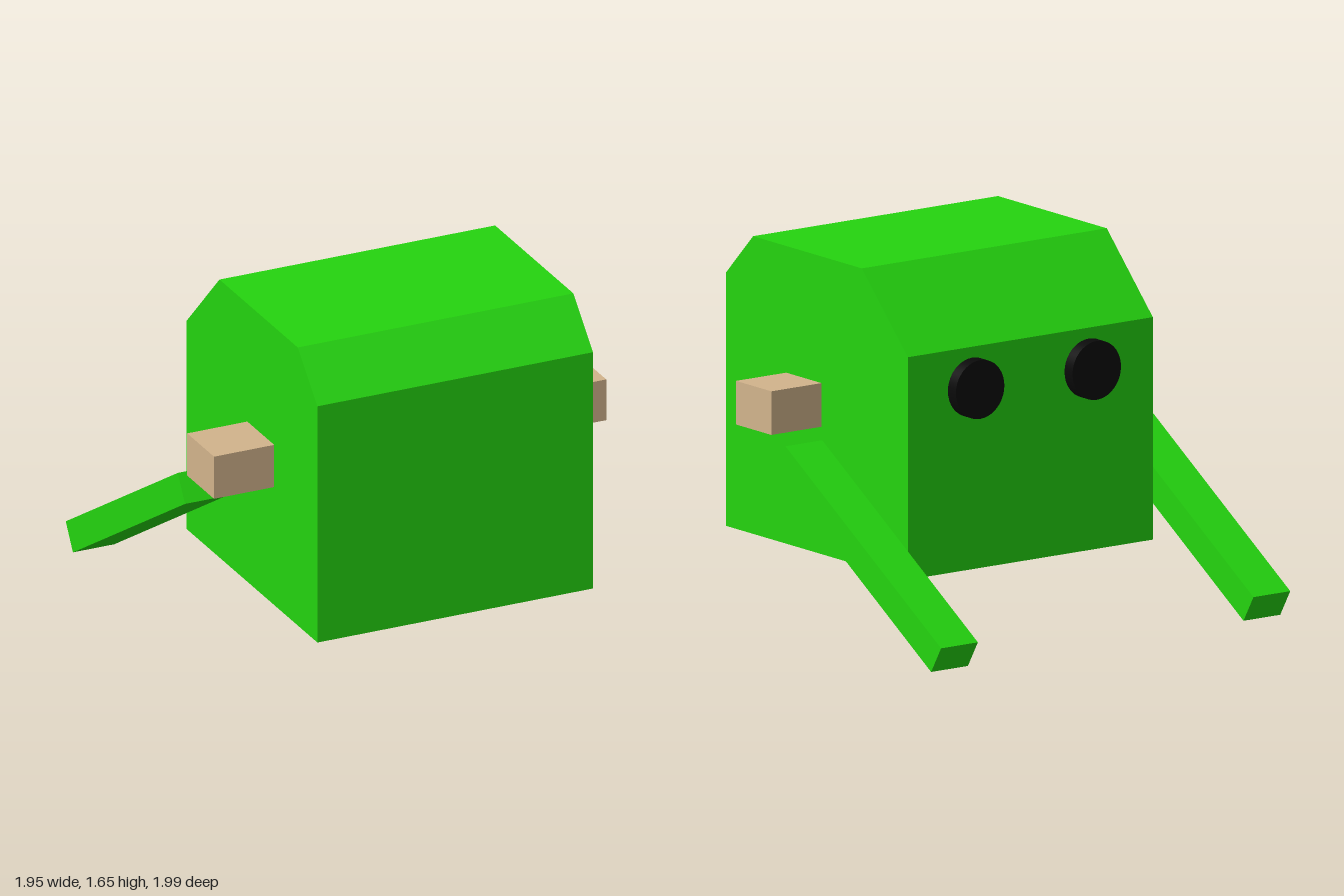
import * as THREE from 'three';

const green = new THREE.MeshStandardMaterial({ color: 0x24d40f });
green.name = 'green';
const tan = new THREE.MeshStandardMaterial({ color: 0xd2b48c });
tan.name = 'tan';
const black = new THREE.MeshStandardMaterial({ color: 0x0a0a0a });
black.name = 'black';

export function createModel() {
  const model = new THREE.Group();
  model.name = 'boxyCreature';

  const add = (name, geometry, material, x, y, z) => {
    const mesh = new THREE.Mesh(geometry, material);
    mesh.name = name;
    mesh.position.set(x, y, z);
    model.add(mesh);
    return mesh;
  };

  // Body: side profile in (-z, y) with two chamfered top edges, extruded across x
  const profile = new THREE.Shape(
    [[-1, 0.29], [0.365, 0.29], [0.365, 1.31], [0.02, 1.655], [-0.795, 1.655], [-1, 1.45]]
      .map(([u, y]) => new THREE.Vector2(u, y))
  );
  const bodyGeometry = new THREE.ExtrudeGeometry(profile, { depth: 1.365, bevelEnabled: false });
  bodyGeometry.rotateY(Math.PI / 2);
  add('body', bodyGeometry, green, -0.677, 0, 0);

  // Side pegs
  add('leftPeg', new THREE.BoxGeometry(0.28, 0.2, 0.265), tan, 0.83, 0.975, 0.412);
  add('rightPeg', new THREE.BoxGeometry(0.3, 0.207, 0.28), tan, -0.825, 0.973, 0.41);

  // Arms slope down towards the back; eyes sit on the back face
  const armGeometry = new THREE.BoxGeometry(0.205, 0.143, 1.368);
  const eyeGeometry = new THREE.CylinderGeometry(0.135, 0.135, 0.06, 40).rotateX(Math.PI / 2);
  for (const [side, armX, eyeX] of [['left', 0.868, 0.33], ['right', -0.873, -0.32]]) {
    add(side + 'Arm', armGeometry, green, armX, 0.424, -0.373).rotation.x = -0.55;
    add(side + 'Eye', eyeGeometry, black, eyeX, 1.125, -0.395);
  }

  return model;
}
